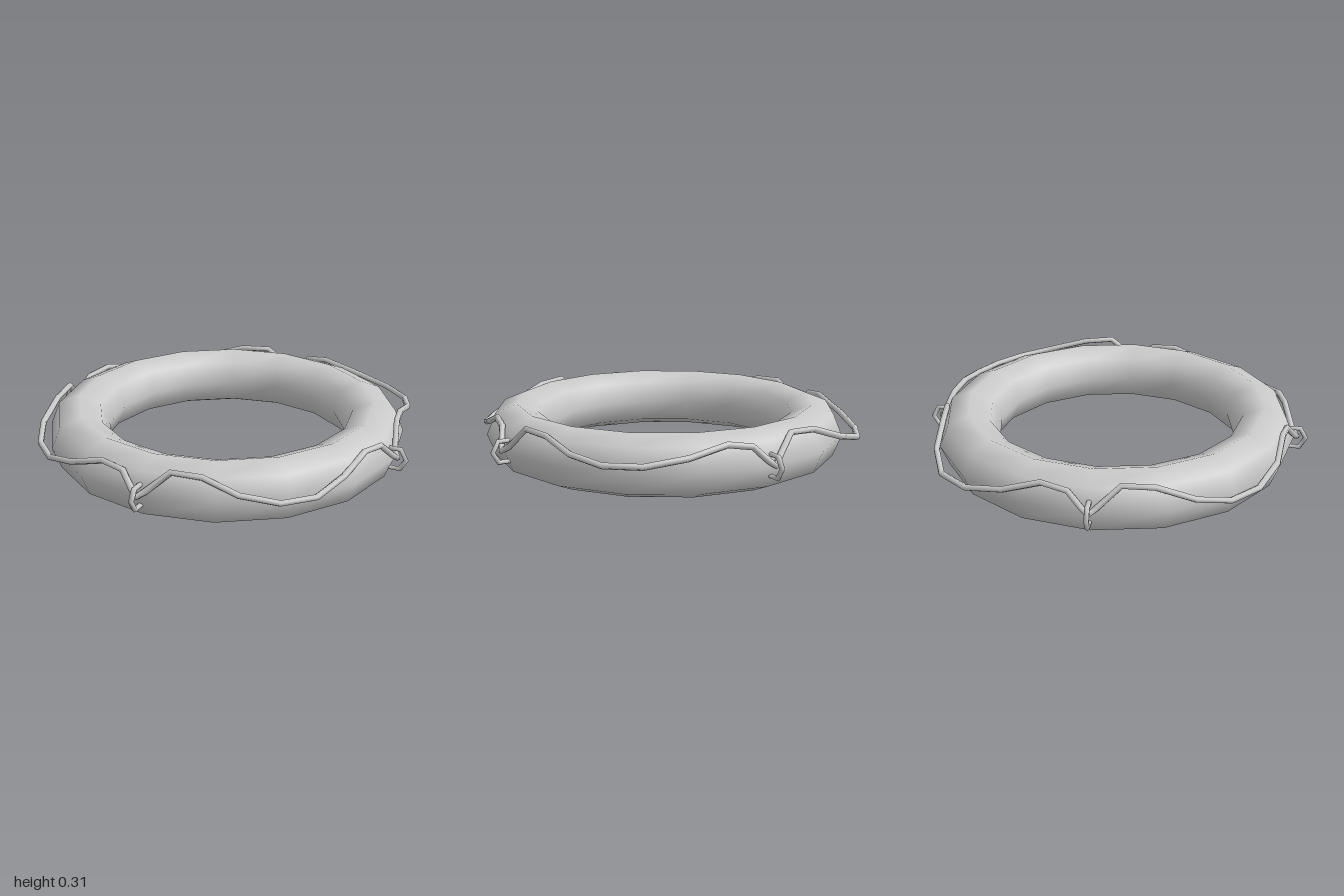
import * as THREE from 'three';

const MID = 0.155; // height of the ring's centre line

export function createModel() {
  const group = new THREE.Group();
  group.name = 'lifebuoy';
  const material = new THREE.MeshStandardMaterial({ color: 0xcccccc });
  const add = (geometry, name) => {
    const mesh = new THREE.Mesh(geometry, material);
    mesh.name = name;
    group.add(mesh);
    return mesh;
  };

  // Float ring: octagonal section, sixteen segments
  add(new THREE.TorusGeometry(0.77, 0.155, 8, 16).rotateX(Math.PI / 2).translate(0, MID, 0), 'floatRing');

  // Four upright hexagonal loops that hold the rope
  for (let i = 0; i < 4; i++) {
    const loop = new THREE.TorusGeometry(0.06, 0.0135, 6, 6).translate(0.926, MID, 0);
    add(loop.rotateY(i * Math.PI / 2), 'ropeLoop' + (i + 1));
  }

  // Grab rope: one slack span per quarter, as [x, y, z]
  const spans = [
    // front to left
    [[0, .16, .94], [.035, .185, .915], [.145, .285, .87], [.29, .275, .835], [.46, .21, .81], [.63, .17, .725],
      [.75, .165, .585], [.815, .21, .41], [.85, .27, .23], [.885, .255, .1], [.925, .185, .03]],
    // left to back
    [[.94, .16, 0], [.915, .185, -.035], [.88, .29, -.15], [.85, .283, -.3], [.83, .235, -.49], [.76, .21, -.66],
      [.62, .21, -.78], [.42, .235, -.845], [.22, .275, -.865], [.1, .255, -.895], [.03, .185, -.925]],
    // back to right
    [[0, .16, -.94], [-.035, .185, -.915], [-.145, .285, -.865], [-.3, .275, -.845], [-.49, .21, -.83], [-.66, .17, -.76],
      [-.78, .17, -.61], [-.845, .21, -.42], [-.86, .27, -.23], [-.895, .255, -.1], [-.925, .185, -.03]],
    // right to front
    [[-.94, .16, 0], [-.915, .185, .035], [-.87, .285, .145], [-.845, .275, .3], [-.815, .21, .485], [-.73, .17, .64],
      [-.59, .17, .765], [-.41, .215, .845], [-.22, .27, .865], [-.1, .255, .885], [-.03, .185, .925]],
  ];
  const points = spans.flat().map((p) => new THREE.Vector3(...p));
  const path = new THREE.CatmullRomCurve3(points, true, 'catmullrom', 0.5);
  // One ring of the tube exactly at each point keeps the kinks
  path.getPointAt = path.getPoint;
  path.getTangentAt = path.getTangent;
  add(new THREE.TubeGeometry(path, points.length, 0.016, 6, true), 'grabRope');

  return group;
}
